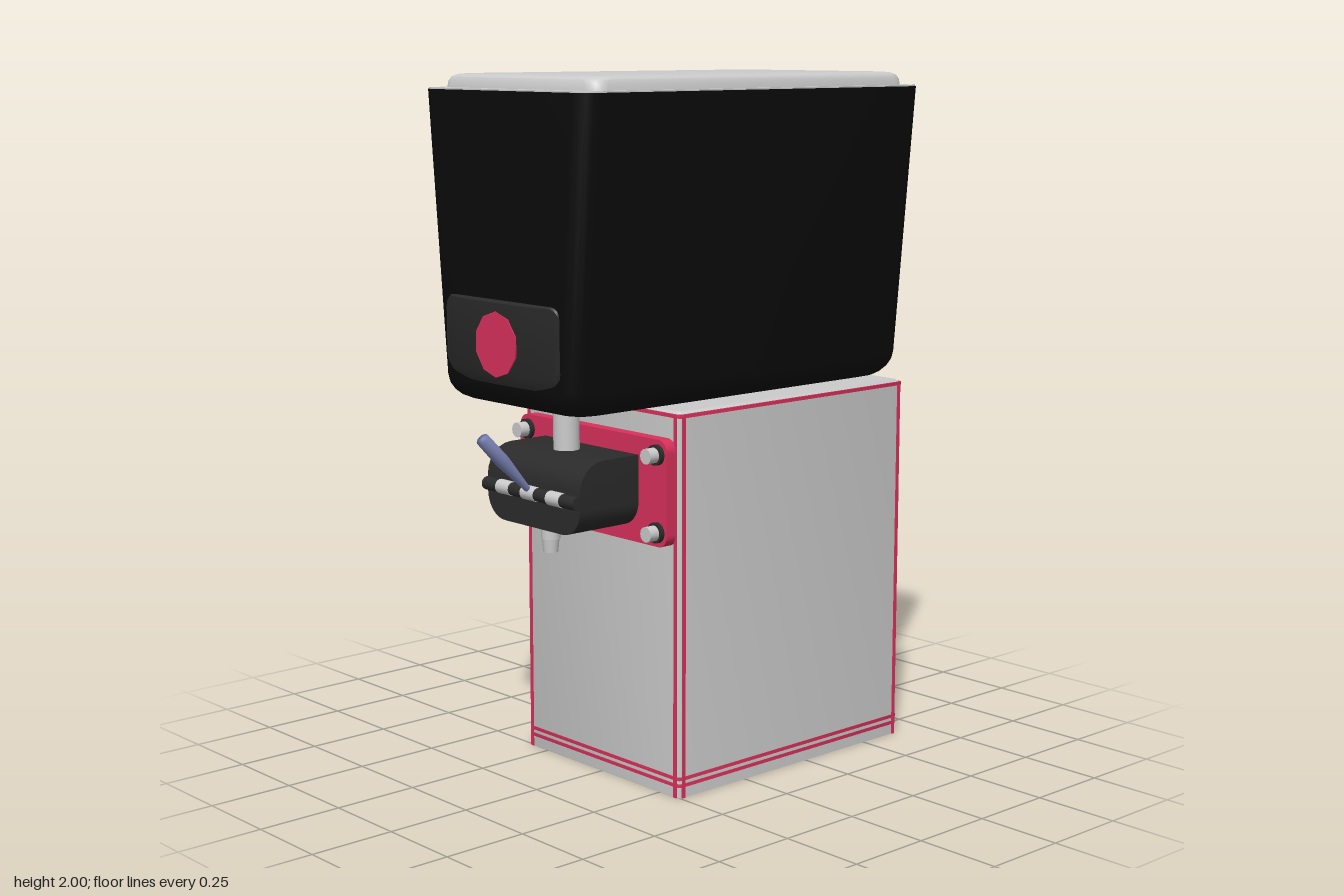
import * as THREE from 'three';
import { toCreasedNormals } from 'three/addons/utils/BufferGeometryUtils.js';

const paint = (color) => new THREE.MeshStandardMaterial({ color });
const grey = paint(0xcccccc);
const black = paint(0x0b0b0b);
const dark = paint(0x2b2b2b);
const pink = paint(0xd8315b);
const blue = paint(0x8089bd);

function add(parent, name, geometry, material, x = 0, y = 0, z = 0) {
  const mesh = new THREE.Mesh(geometry, material);
  mesh.name = name;
  mesh.position.set(x, y, z);
  parent.add(mesh);
  return mesh;
}

// Closed solid through a row of convex rings, with capped ends
function loft(rings, crease = 0.6) {
  const tris = [];
  const n = rings[0].length;
  for (let i = 0; i < rings.length - 1; i++) {
    for (let j = 0; j < n; j++) {
      const k = (j + 1) % n;
      const a = rings[i][j], b = rings[i][k], c = rings[i + 1][k], d = rings[i + 1][j];
      tris.push([a, b, c], [a, c, d]);
    }
  }
  [rings[0], rings[rings.length - 1]].forEach((ring, end) => {
    const mid = ring.reduce((s, p) => s.add(p), new THREE.Vector3()).divideScalar(n);
    for (let j = 0; j < n; j++) {
      const a = ring[j], b = ring[(j + 1) % n];
      tris.push(end ? [mid, a, b] : [mid, b, a]);
    }
  });
  // Turn the faces outward when the rings run the other way
  const volume = tris.reduce((s, [a, b, c]) => s + a.dot(new THREE.Vector3().crossVectors(b, c)), 0);
  const points = tris.flatMap(([a, b, c]) => (volume > 0 ? [a, b, c] : [a, c, b]));
  const geometry = new THREE.BufferGeometry().setFromPoints(points);
  geometry.computeVertexNormals();
  return toCreasedNormals(geometry, crease);
}

// Horizontal rounded rectangle at height y
function ringXZ(y, hx, z0, z1, r, cx = 0, steps = 4) {
  const ring = [];
  const cz = (z0 + z1) / 2, hz = (z1 - z0) / 2;
  [[1, 1], [-1, 1], [-1, -1], [1, -1]].forEach(([sx, sz], q) => {
    for (let i = 0; i <= steps; i++) {
      const a = (q + i / steps) * Math.PI / 2;
      ring.push(new THREE.Vector3(cx + sx * (hx - r) + r * Math.cos(a), y, cz + sz * (hz - r) + r * Math.sin(a)));
    }
  });
  return ring;
}

function roundedShape(hx, hy, r) {
  const s = new THREE.Shape();
  s.absarc(hx - r, hy - r, r, 0, Math.PI / 2);
  s.absarc(-hx + r, hy - r, r, Math.PI / 2, Math.PI);
  s.absarc(-hx + r, -hy + r, r, Math.PI, Math.PI * 1.5);
  s.absarc(hx - r, -hy + r, r, Math.PI * 1.5, Math.PI * 2);
  return s;
}

// Amount a rounded corner cuts in, at distance d from the end
const corner = (d, r) => (d >= r ? 0 : r - Math.sqrt(r * r - (r - d) ** 2));

function createCabinet() {
  const g = new THREE.Group();
  g.name = 'cabinet';
  const cx = -0.003, hx = 0.333, z0 = -0.645, z1 = 0.255, top = 1.095;
  add(g, 'cabinetBody', loft([
    ringXZ(0, hx, z0, z1, 0.015, cx),
    ringXZ(top - 0.012, hx, z0, z1, 0.015, cx),
    ringXZ(top, hx - 0.012, z0 + 0.012, z1 - 0.012, 0.01, cx),
  ]), grey);
  // Trim bands running round the cabinet
  const e = 0.002;
  [0.036, 0.056, top - 0.012].forEach((y) => add(g, 'trimBand', loft([
    ringXZ(y - 0.005, hx + e, z0 - e, z1 + e, 0.015, cx),
    ringXZ(y + 0.005, hx + e, z0 - e, z1 + e, 0.015, cx),
  ]), pink));
  // Two vertical trim strips at each corner
  for (const sx of [-1, 1]) for (const z of [z0, z1]) {
    const inward = z > 0 ? -1 : 1;
    const h = top - 0.012;
    add(g, 'trimStripX', new THREE.BoxGeometry(0.011, h, 0.006), pink, cx + sx * (hx - 0.016), h / 2, z);
    add(g, 'trimStripZ', new THREE.BoxGeometry(0.006, h, 0.011), pink, cx + sx * hx, h / 2, z + inward * 0.016);
  }
  return g;
}

function createTank() {
  const g = new THREE.Group();
  g.name = 'tank';
  const z0 = -0.688, z1 = 0.602, y0 = 1.1, y1 = 1.958;
  // Tapered sides with a rounded lower edge
  const rings = [];
  for (let i = 0; i <= 5; i++) {
    const a = (i / 5) * Math.PI / 2, cut = 1 - Math.sin(a);
    const y = y0 + 0.07 * (1 - Math.cos(a));
    rings.push(ringXZ(y, 0.278 + 0.09 * (y - y0) - 0.04 * cut, z0 + 0.08 * cut, z1 - 0.08 * cut, 0.055));
  }
  rings.push(ringXZ(y1, 0.355, z0, z1, 0.055));
  add(g, 'tankBody', loft(rings), black);
  add(g, 'tankRim', loft([
    ringXZ(y1 - 0.004, 0.353, z0 + 0.002, z1 - 0.002, 0.055),
    ringXZ(y1 + 0.004, 0.353, z0 + 0.002, z1 - 0.002, 0.055),
  ]), grey);
  add(g, 'lid', loft([0, 0.02, 0.032, 0.039, 0.041].map((h, i) => {
    const cut = [0, 0.003, 0.01, 0.025, 0.045][i];
    return ringXZ(1.959 + h, 0.33 - cut * 0.7, -0.64 + cut, 0.55 - cut, 0.045);
  })), grey);
  return g;
}

function createBadge() {
  const g = new THREE.Group();
  g.name = 'frontPanel';
  // Bowed panel, sliced from side to side
  const w = 0.243, slices = [];
  for (let i = 0; i <= 24; i++) {
    const x = -w * Math.cos((i / 24) * Math.PI);
    const c = corner(w - Math.abs(x), 0.03);
    const z = 0.624 - 0.018 * (x / w) ** 2;
    const lo = 1.17 + c, hi = 1.4 - c;
    slices.push([[lo, 0.59], [lo, z - 0.016], [lo + 0.035, z], [hi - 0.005, z], [hi, z - 0.005], [hi, 0.59]]
      .map(([y, zz]) => new THREE.Vector3(x, y, zz)));
  }
  add(g, 'panel', loft(slices), dark);
  const disc = add(g, 'panelDisc', new THREE.CylinderGeometry(0.09, 0.09, 0.012, 10), pink, 0, 1.282, 0.62);
  disc.rotation.x = Math.PI / 2;
  return g;
}

function createDispenser() {
  const g = new THREE.Group();
  g.name = 'dispenser';
  // Mounting plate
  add(g, 'mountingPlate', new THREE.ExtrudeGeometry(roundedShape(0.318, 0.15, 0.035),
    { depth: 0.04, bevelEnabled: false, curveSegments: 6 }), pink, 0, 0.869, 0.251);
  for (const x of [-0.28, 0.28]) for (const y of [0.76, 0.977]) {
    const washer = add(g, 'washer', new THREE.CylinderGeometry(0.029, 0.029, 0.014, 16), dark, x, y, 0.297);
    const bolt = add(g, 'bolt', new THREE.CylinderGeometry(0.022, 0.022, 0.04, 12), grey, x, y, 0.315);
    washer.rotation.x = bolt.rotation.x = Math.PI / 2;
  }
  // Valve housing: rounded upper front, rounded lower side corners
  const w = 0.202, slices = [];
  for (let i = 0; i <= 28; i++) {
    const x = -w * Math.cos((i / 28) * Math.PI);
    const lo = 0.76 + corner(w - Math.abs(x), 0.075);
    const ring = [new THREE.Vector3(x, lo, 0.285), new THREE.Vector3(x, lo, 0.502)];
    for (let k = 0; k <= 6; k++) {
      const a = (k / 6) * Math.PI / 2;
      ring.push(new THREE.Vector3(x, 0.882 + 0.084 * Math.sin(a), 0.418 + 0.084 * Math.cos(a)));
    }
    ring.push(new THREE.Vector3(x, 0.966, 0.285));
    slices.push(ring);
  }
  add(g, 'valveHousing', loft(slices), dark);
  // Hinge bar with bright sleeves
  const bar = add(g, 'hingeBar', new THREE.CylinderGeometry(0.019, 0.019, 0.4, 14), dark, 0, 0.857, 0.507);
  bar.rotation.z = Math.PI / 2;
  for (const x of [-0.11, 0, 0.11]) {
    const sleeve = add(g, 'hingeSleeve', new THREE.CylinderGeometry(0.0205, 0.0205, 0.056, 14), grey, x, 0.857, 0.507);
    sleeve.rotation.z = Math.PI / 2;
  }
  // Tapered lever leaning forward
  const from = new THREE.Vector3(0, 0.865, 0.515), to = new THREE.Vector3(0, 1.03, 0.675);
  const lever = add(g, 'lever', new THREE.LatheGeometry(
    [[0, 0], [0.008, 0], [0.02, 0.13], [0.019, 0.228], [0, 0.23]].map(([r, y]) => new THREE.Vector2(r, y)), 14), blue);
  lever.position.copy(from);
  lever.quaternion.setFromUnitVectors(new THREE.Vector3(0, 1, 0), to.sub(from).normalize());
  // Feed pipe from the tank and outlet spout
  add(g, 'feedPipe', new THREE.CylinderGeometry(0.037, 0.037, 0.18, 20), grey, 0, 1.03, 0.38);
  add(g, 'spoutCollar', new THREE.CylinderGeometry(0.027, 0.027, 0.05, 16), grey, 0, 0.745, 0.44);
  add(g, 'spout', new THREE.CylinderGeometry(0.025, 0.021, 0.04, 16), grey, 0, 0.702, 0.44);
  return g;
}

export function createModel() {
  const model = new THREE.Group();
  model.name = 'drinkDispenser';
  model.add(createCabinet(), createTank(), createBadge(), createDispenser());
  return model;
}
